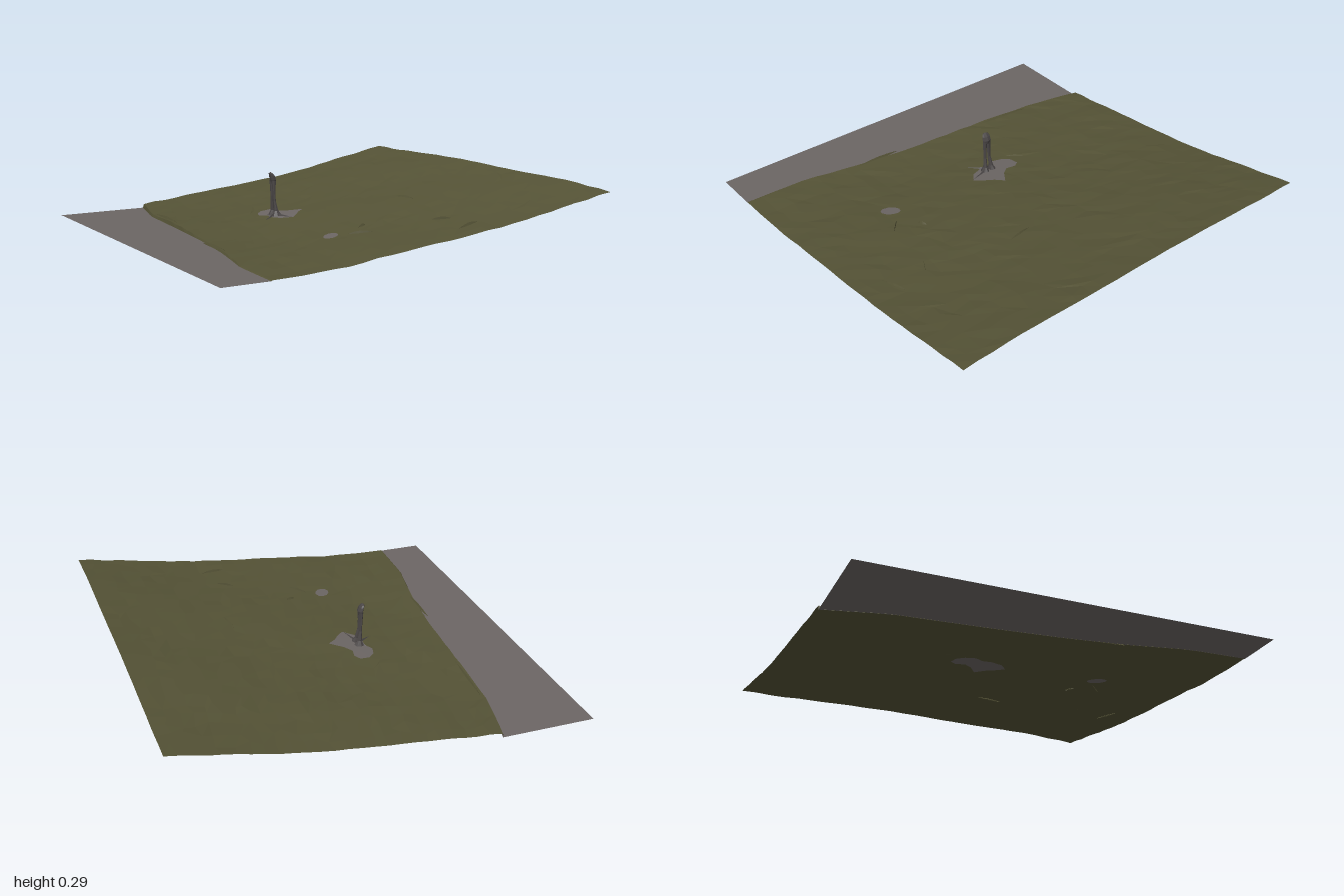
import * as THREE from 'three';

const make = (name, color) => {
  const m = new THREE.MeshStandardMaterial({ color, side: THREE.DoubleSide, flatShading: true });
  m.name = name;
  return m;
};

// Piecewise linear lookup through [position, value] pairs
function lookup(pairs, t) {
  for (let i = 1; i < pairs.length; i++) {
    const [a, va] = pairs[i - 1], [b, vb] = pairs[i];
    if (t <= b) return va + (vb - va) * (t - a) / (b - a);
  }
  return pairs[pairs.length - 1][1];
}

const SLOPE = [[-1, 0.025], [-0.6, 0.032], [-0.4, 0.045], [-0.2, 0.071], [0, 0.095], [0.4, 0.154], [1, 0.268]];
const EDGE = [[-1, -0.54], [-0.7, -0.61], [-0.25, -0.64], [0.1, -0.67], [0.4, -0.71], [0.7, -0.77], [1, -0.78]];

const roadHeight = z => 0.02 + 0.02 * z;

// Hillside rising to +x, with a gentle cross tilt and low bumps
function hillHeight(x, z) {
  const k = (x + 1) / 2;
  const bumps = 0.003 * Math.sin(5 * x + 3 * z) + 0.003 * Math.sin(7 * z - 4 * x + 1);
  return lookup(SLOPE, x) + 0.02 * z * (1 - 0.75 * k) - 0.022 * k * k * z * z + bumps;
}

// Grid surface from a rule giving [x, y, z] for column i and row j
function sheet(cols, rows, rule) {
  const pos = [], idx = [];
  for (let j = 0; j <= rows; j++)
    for (let i = 0; i <= cols; i++) pos.push(...rule(i, j));
  for (let j = 0; j < rows; j++)
    for (let i = 0; i < cols; i++) {
      const a = j * (cols + 1) + i, c = a + cols + 1;
      idx.push(a, c, a + 1, a + 1, c, c + 1);
    }
  const g = new THREE.BufferGeometry();
  g.setAttribute('position', new THREE.Float32BufferAttribute(pos, 3));
  g.setIndex(idx);
  g.computeVertexNormals();
  return g;
}

// Ground patch: rings shrinking to the centre, draped over the hill
function patch(outline, cx, cz, lift) {
  return sheet(5, outline.length, (i, j) => {
    const [px, pz] = outline[j % outline.length], s = i / 5;
    const x = cx + (px - cx) * s, z = cz + (pz - cz) * s;
    return [x, hillHeight(x, z) + lift, z];
  });
}

// Tapering limb lofted through [x, y, z, radiusX, radiusZ] sections
function limb(sections, sides = 7) {
  return sheet(sides, sections.length - 1, (i, j) => {
    const [x, y, z, rx, rz] = sections[j], a = -i / sides * Math.PI * 2;
    return [x + Math.cos(a) * rx, y, z - Math.sin(a) * rz];
  });
}

export function createModel() {
  const group = new THREE.Group();
  const grass = make('grass', 0x55533a);
  const stone = make('grey stone', 0x6c6664);
  const bark = make('dark weathered wood', 0x4a4646);
  grass.color.set(0x555336);
  const add = (name, geometry, material) => {
    const mesh = new THREE.Mesh(geometry, material);
    mesh.name = name;
    group.add(mesh);
    return mesh;
  };

  let seed = 7;
  const rand = () => (seed = (seed * 16807) % 2147483647) / 2147483647 - 0.5;

  // Grassy hillside with irregular facets; column 0 is the bank down to the road
  const N = 26, M = 26;
  add('hillside', sheet(N, M, (i, j) => {
    const inner = i > 1 && i < N && j > 0 && j < M;
    const z = -1 + 2 * j / M + (inner ? rand() * 0.05 : 0);
    const edge = lookup(EDGE, z);
    if (i === 0) return [edge, roadHeight(z) - 0.001, z];
    const u = (i - 1) / (N - 1);
    const x = edge + 0.006 + (1 - edge - 0.006) * u + (inner ? rand() * 0.04 : 0);
    const y = hillHeight(x, z) + rand() * 0.005;
    return [x, Math.max(y, roadHeight(z) + 0.003), z];
  }), grass);

  // Flat road strip along the low side
  add('road', sheet(1, 24, (i, j) => {
    const z = -1 + j / 12;
    return [i ? lookup(EDGE, z) + 0.004 : -1, roadHeight(z), z];
  }), stone);

  // Bare stony ground, seen from above and beneath
  const bare = [[-0.2, -0.235], [-0.15, -0.24], [-0.13, -0.21], [-0.14, -0.16], [-0.11, -0.12],
    [-0.045, -0.075], [-0.09, -0.04], [-0.12, 0], [-0.16, 0.04], [-0.21, 0], [-0.23, -0.06],
    [-0.225, -0.11], [-0.25, -0.15], [-0.235, -0.2]].reverse();
  const spot = Array.from({ length: 10 }, (_, i) => {
    const a = -i / 10 * Math.PI * 2, u = Math.cos(a) * 0.05, v = Math.sin(a) * 0.034;
    return [-0.222 + u * 0.64 + v * 0.77, 0.51 - u * 0.77 + v * 0.64];
  });
  for (const [side, lift] of [['Top', 0.006], ['Underside', -0.006]]) {
    add('barePatch' + side, patch(bare, -0.165, -0.09, lift), stone);
    add('smallPatch' + side, patch(spot, -0.222, 0.51, lift), stone);
  }

  // Upright forked stump: two legs joining in a knotted top
  const stump = new THREE.Group();
  stump.name = 'stump';
  for (const s of [-1, 1]) {
    const leg = new THREE.Mesh(limb([
      [-0.195, 0.075, -0.085 + s * 0.022, 0.026, 0.02],
      [-0.198, 0.1, -0.085 + s * 0.018, 0.012, 0.011],
      [-0.205, 0.15, -0.085 + s * 0.013, 0.006, 0.009],
      [-0.207, 0.2, -0.085 + s * 0.012, 0.007, 0.01],
      [-0.207, 0.25, -0.085 + s * 0.011, 0.011, 0.012]]), bark);
    leg.name = 'stumpLeg';
    stump.add(leg);
  }
  const knot = new THREE.Mesh(limb([
    [-0.205, 0.235, -0.085, 0.008, 0.018], [-0.206, 0.255, -0.085, 0.014, 0.024],
    [-0.212, 0.275, -0.085, 0.012, 0.023], [-0.218, 0.287, -0.085, 0.009, 0.016],
    [-0.219, 0.293, -0.085, 0.001, 0.002]]), bark);
  knot.name = 'stumpTop';
  stump.add(knot);
  group.add(stump);

  // Thin roots spreading over the ground
  for (const [x, z] of [[-0.285, -0.02], [-0.165, 0.04], [-0.23, -0.12]]) {
    const side = new THREE.Vector2(z + 0.085, -(x + 0.2)).normalize().multiplyScalar(0.008);
    add('root', sheet(2, 4, (i, j) => {
      const t = j / 4, w = (i - 1) * (1 - t);
      const px = -0.2 + (x + 0.2) * t + side.x * w, pz = -0.085 + (z + 0.085) * t + side.y * w;
      return [px, hillHeight(px, pz) + 0.007 + (i === 1 ? 0.012 * (1 - t) : 0), pz];
    }), bark);
  }

  // Small steep folds in the turf
  const folds = [[-0.14, 0.53, -0.05, 0.61], [0.23, 0.64, 0.32, 0.69], [-0.05, 0.47, 0, 0.45],
    [0.23, 0.87, 0.36, 0.83], [0.38, 0.13, 0.4, 0.26], [-0.59, -0.66, -0.61, -0.35], [-0.69, 0.15, -0.69, 0.4]];
  for (const [x0, z0, x1, z1] of folds)
    add('turfFold', sheet(2, 4, (i, j) => {
      const t = j / 4, h = Math.sin(t * Math.PI);
      const x = x0 + (x1 - x0) * t + (i - 1) * 0.008 * h, z = z0 + (z1 - z0) * t + (i - 1) * 0.004 * h;
      return [x, hillHeight(x, z) + (i === 1 ? 0.012 * h : -0.003), z];
    }), grass);

  return group;
}
